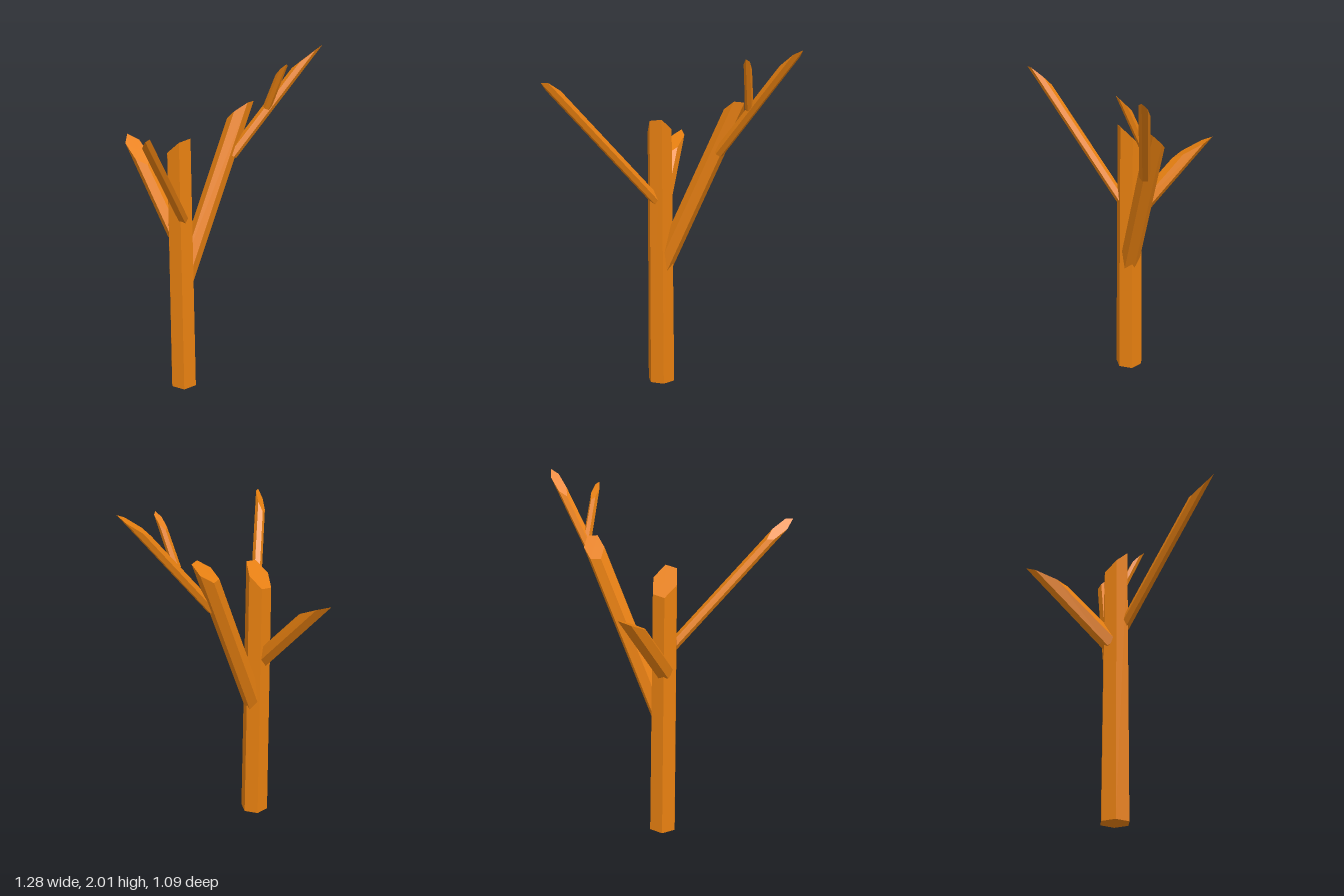
import * as THREE from 'three';

const SIDES = 6;
const bark = new THREE.MeshStandardMaterial({ color: 0xe88010, flatShading: true });

// Tapered hexagonal limb: square base, tip sliced by a slanted plane with normal `cut`.
function limb(name, base, tip, r0, r1, cut, phase = 30) {
  const a = new THREE.Vector3(...base);
  const b = new THREE.Vector3(...tip);
  const n = new THREE.Vector3(...cut);
  const dir = b.clone().sub(a).normalize();
  const turn = new THREE.Quaternion().setFromUnitVectors(new THREE.Vector3(0, 1, 0), dir);
  const low = [], high = [];
  for (let i = 0; i < SIDES; i++) {
    const t = (phase * Math.PI) / 180 + (i / SIDES) * Math.PI * 2;
    const out = new THREE.Vector3(Math.cos(t), 0, Math.sin(t)).applyQuaternion(turn);
    low.push(a.clone().addScaledVector(out, r0));
    // slide the tip corner along the limb until it meets the cutting plane
    const slide = (-r1 * out.dot(n)) / dir.dot(n);
    high.push(b.clone().addScaledVector(out, r1).addScaledVector(dir, slide));
  }
  const points = [];
  for (let i = 0; i < SIDES; i++) {
    const j = (i + 1) % SIDES;
    points.push(low[i], high[i], low[j], low[j], high[i], high[j]); // side
    points.push(b, high[j], high[i]); // sliced tip
    points.push(a, low[i], low[j]); // base
  }
  const geometry = new THREE.BufferGeometry().setFromPoints(points);
  geometry.computeVertexNormals();
  const mesh = new THREE.Mesh(geometry, bark);
  mesh.name = name;
  return mesh;
}

export function createModel() {
  const tree = new THREE.Group();
  tree.name = 'bareTree';
  tree.add(
    limb('trunk', [-0.232, 0, -0.05], [-0.234, 1.53, -0.053], 0.083, 0.074, [-0.3, 1, -1], -10),
    // limbs growing out of the trunk
    limb('leftBranch', [-0.22, 0.715, -0.05], [0.19, 1.66, -0.168], 0.058, 0.056, [-0.4, 1, -0.9]),
    limb('frontBranch', [-0.21, 1.08, -0.04], [-0.6, 1.785, 0.465], 0.031, 0.03, [-0.7, 1, -1]),
    limb('backBranch', [-0.252, 1.013, -0.07], [-0.345, 1.41, -0.43], 0.054, 0.05, [-0.1, 1, 0.5]),
    // smaller offshoots of the left branch
    limb('leftOffshoot', [0.115, 1.415, -0.117], [0.56, 1.95, -0.08], 0.031, 0.029, [-0.6, 1, -0.6]),
    limb('twig', [0.32, 1.68, -0.09], [0.355, 1.92, 0.01], 0.024, 0.022, [-0.2, 1, -1]),
  );
  return tree;
}
